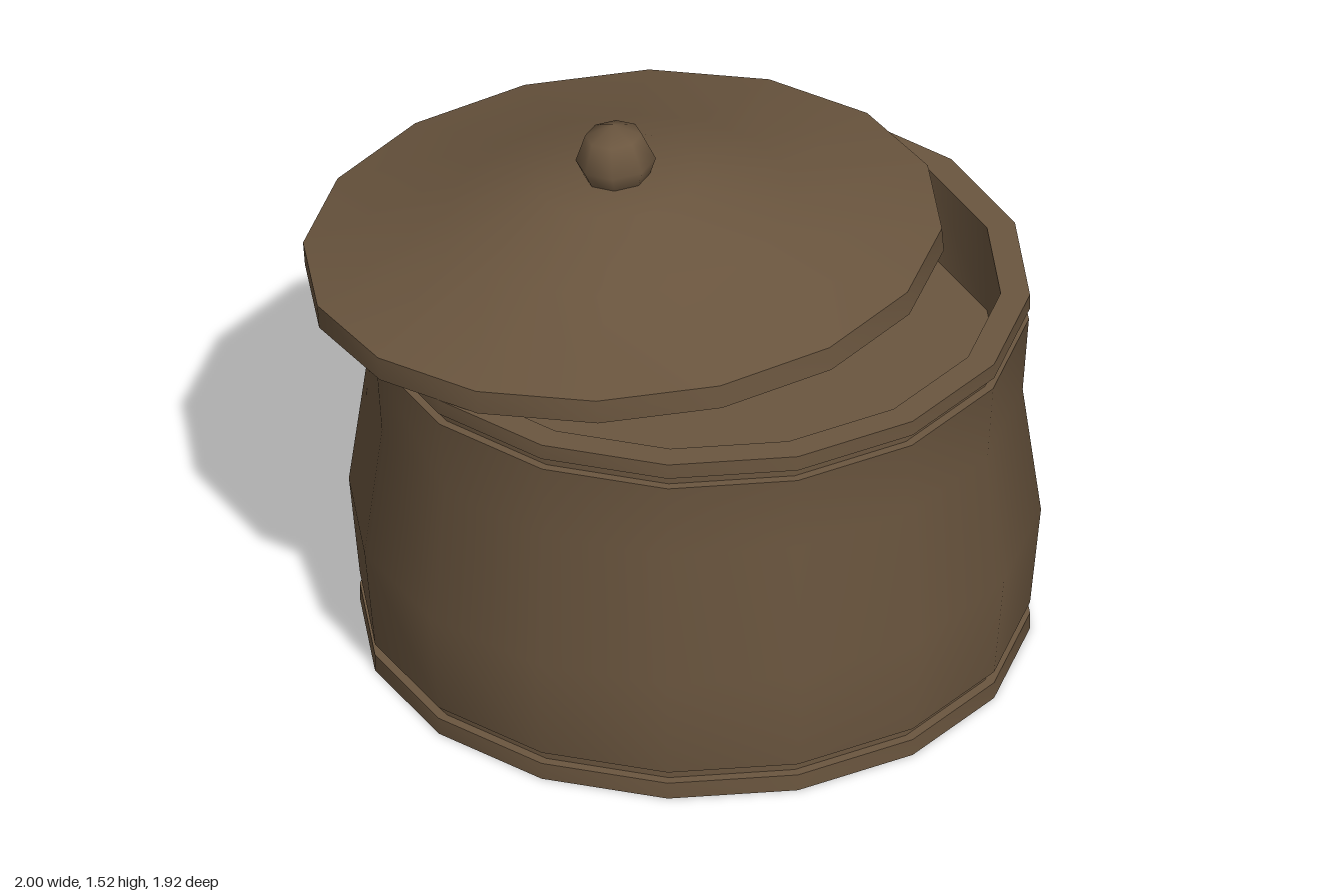
import * as THREE from 'three';
import { toCreasedNormals } from 'three/addons/utils/BufferGeometryUtils.js';

const SIDES = 16;
const START = THREE.MathUtils.degToRad(-5.7);

export function createModel() {
  const model = new THREE.Group();
  model.name = 'liddedPot';
  const clay = new THREE.MeshStandardMaterial({ color: 0x6b563f });

  // Turned part from [radius, height] pairs, smooth around but sharp at the rims
  function turned(name, profile, parent) {
    const points = profile.map(([r, y]) => new THREE.Vector2(r, y));
    const geometry = toCreasedNormals(new THREE.LatheGeometry(points, SIDES, START), 0.7);
    const mesh = new THREE.Mesh(geometry, clay);
    mesh.name = name;
    parent.add(mesh);
    return mesh;
  }

  // Pot: foot ring, groove, bulging wall, groove, rim, then the shallow inside
  const pot = turned('pot', [
    [0, 0], [0.915, 0], [0.915, 0.05],
    [0.887, 0.05], [0.887, 0.085],
    [0.915, 0.085], [0.945, 0.39], [0.895, 0.78], [0.912, 1.01],
    [0.887, 1.01], [0.887, 1.045],
    [0.915, 1.045], [0.915, 1.09],
    [0.835, 1.09], [0.835, 0.82], [0, 0.82],
  ], model);
  pot.position.set(0.06, 0, 0.02);

  // Lid: shifted to one side and resting at a tilt
  const lid = new THREE.Group();
  lid.name = 'lid';
  lid.position.set(-0.13, 1.095, -0.085);
  lid.quaternion.setFromUnitVectors(
    new THREE.Vector3(0, 1, 0),
    new THREE.Vector3(-0.075, 1, -0.05).normalize(),
  );
  model.add(lid);
  turned('lidCover', [
    [0, 0], [0.875, 0], [0.875, 0.07], [0.48, 0.165], [0.225, 0.26], [0, 0.268],
  ], lid);

  // Round knob
  const knob = new THREE.Mesh(new THREE.SphereGeometry(0.11, 8, 4, START), clay);
  knob.name = 'lidKnob';
  knob.position.y = 0.312;
  lid.add(knob);

  return model;
}
